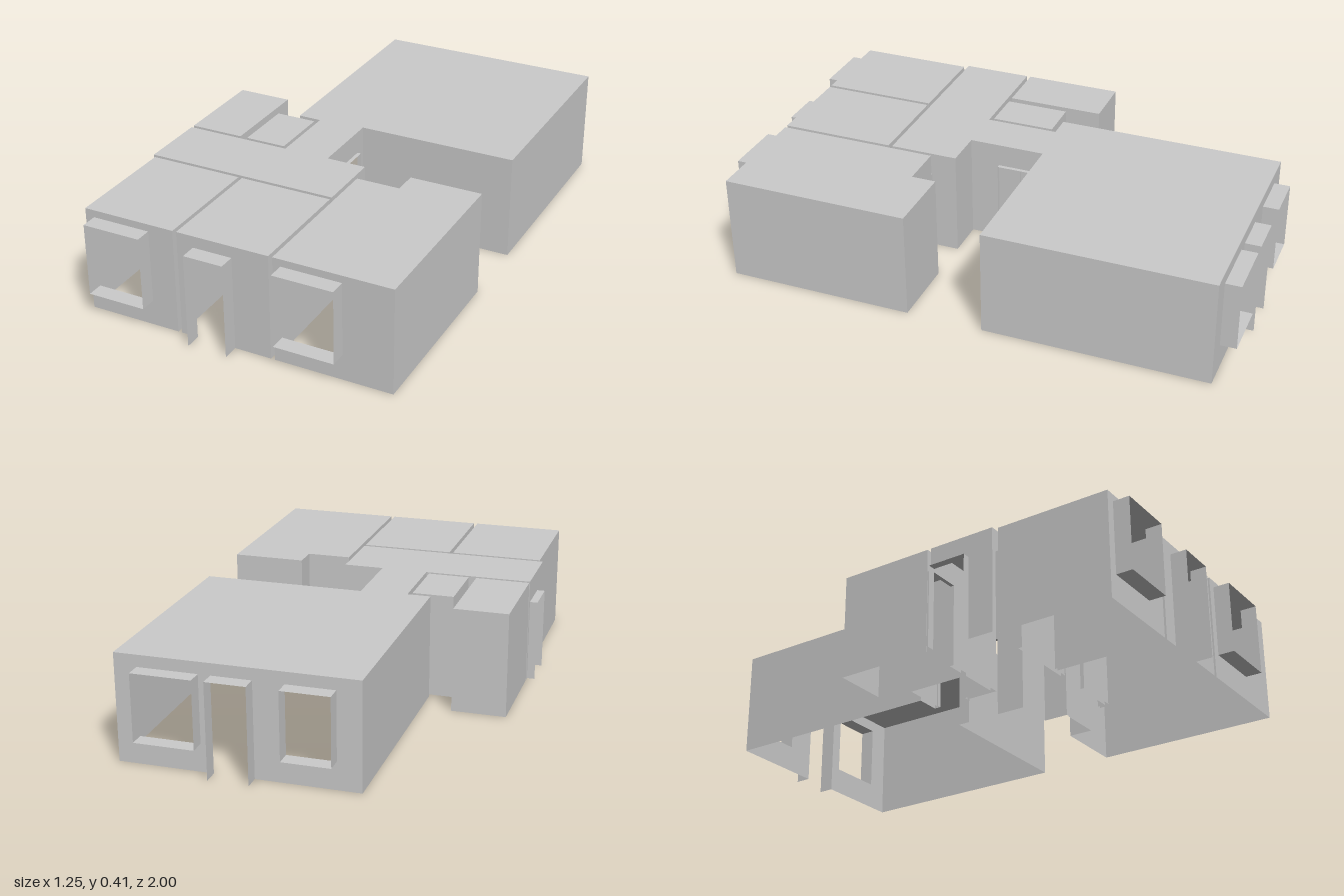
import * as THREE from 'three';
import { mergeGeometries } from 'three/addons/utils/BufferGeometryUtils.js';

const H = 0.408; // ceiling height
const material = new THREE.MeshStandardMaterial({ color: 0xcccccc, side: THREE.DoubleSide, flatShading: true });

const rect = (x0, x1, z0, z1) => [[x0, z0], [x1, z0], [x1, z1], [x0, z1]];

// Floor plans as [x, z] corners
const rooms = {
  livingRoomAndHall: [[-0.27, -0.94], [0.62, -0.94], [0.62, -0.08], [0, -0.08], [0, 0.215], [0.155, 0.215],
    [0.155, 0.48], [-0.595, 0.48], [-0.595, 0.215], [-0.18, 0.215], [-0.18, -0.065], [-0.27, -0.065]],
  bathroom: rect(-0.595, -0.385, -0.175, 0.2),
  toilet: rect(-0.355, -0.195, -0.045, 0.2),
  leftFrontRoom: rect(-0.58, -0.22, 0.495, 0.937),
  middleFrontRoom: rect(-0.205, 0.155, 0.495, 0.937),
  rightFrontRoom: [[0.34, 0.215], [0.62, 0.215], [0.62, 0.937], [0.17, 0.937], [0.17, 0.31], [0.34, 0.31]],
};

// Openings: axis the passage runs along, its two ends, span across, bottom and top
const open = (name, axis, from, to, a, b, y0, y1) => ({ name, axis, from, to, a, b, y0, y1 });
const openings = [
  open('frontWindow', 'z', 0.937, 1, -0.545, -0.32, 0.1, 0.38),
  open('frontWindow', 'z', 0.937, 1, 0.2, 0.43, 0.1, 0.38),
  open('frontDoor', 'z', 0.937, 1, -0.14, 0.012, 0, 0.363),
  open('backWindow', 'z', -1, -0.94, -0.18, 0, 0.106, 0.363),
  open('backWindow', 'z', -1, -0.94, 0.31, 0.535, 0.106, 0.363),
  open('backDoor', 'z', -1, -0.94, 0.115, 0.265, 0, 0.363),
  open('entranceDoor', 'x', -0.625, -0.595, 0.23, 0.38, 0, 0.32),
  open('bathroomDoor', 'z', 0.2, 0.215, -0.593, -0.453, 0, 0.32),
  open('leftRoomDoor', 'z', 0.48, 0.495, -0.575, -0.437, 0, 0.32),
  open('middleRoomDoor', 'z', 0.48, 0.495, -0.155, -0.02, 0, 0.32),
  open('rightRoomDoor', 'x', 0.155, 0.17, 0.313, 0.45, 0, 0.32),
  open('toiletDoor', 'x', -0.195, -0.18, -0.04, 0.085, 0, 0.32),
  open('closetDoor', 'x', 0, 0.015, -0.033, 0.1, 0, 0.32),
];

const polygon = (pts) => new THREE.Shape(pts.map(([x, y]) => new THREE.Vector2(x, y)));

// One thin wall with door notches and window holes
function wall([x0, z0], [x1, z1]) {
  const axis = z0 === z1 ? 'z' : 'x';
  const at = axis === 'z' ? z0 : x0;
  const ends = axis === 'z' ? [x0, x1] : [z0, z1];
  const a = Math.min(...ends), b = Math.max(...ends);
  const cuts = openings
    .filter((o) => o.axis === axis && (o.from === at || o.to === at) && o.a >= a && o.b <= b)
    .sort((p, q) => p.a - q.a);
  const outline = [[a, 0]];
  for (const o of cuts.filter((c) => c.y0 === 0)) {
    outline.push([o.a, 0], [o.a, o.y1], [o.b, o.y1], [o.b, 0]);
  }
  outline.push([b, 0], [b, H], [a, H]);
  const shape = polygon(outline);
  for (const o of cuts.filter((c) => c.y0 > 0)) {
    shape.holes.push(polygon([[o.a, o.y0], [o.a, o.y1], [o.b, o.y1], [o.b, o.y0]]));
  }
  const geo = new THREE.ShapeGeometry(shape);
  return axis === 'z' ? geo.translate(0, 0, at) : geo.rotateY(-Math.PI / 2).translate(at, 0, 0);
}

// Lining of an opening: two jambs, a head and, for windows, a sill
function lining(o) {
  const depth = o.to - o.from, width = o.b - o.a, height = o.y1 - o.y0;
  const jamb = (x) => new THREE.PlaneGeometry(depth, height)
    .rotateY(Math.sign(x) * Math.PI / 2).translate(x, (o.y0 + o.y1) / 2, 0);
  const slab = (y) => new THREE.PlaneGeometry(width, depth).rotateX(-Math.PI / 2).translate(0, y, 0);
  const parts = [jamb(-width / 2), jamb(width / 2), slab(o.y1)];
  if (o.y0 > 0) parts.push(slab(o.y0));
  const geo = mergeGeometries(parts);
  const across = (o.a + o.b) / 2, along = (o.from + o.to) / 2;
  return o.axis === 'z' ? geo.translate(across, 0, along) : geo.rotateY(-Math.PI / 2).translate(along, 0, across);
}

export function createModel() {
  const model = new THREE.Group();
  model.name = 'apartment';
  const add = (parent, name, geo) => {
    const mesh = new THREE.Mesh(geo, material);
    mesh.name = name;
    parent.add(mesh);
  };

  // Room shells, open underneath
  for (const [name, plan] of Object.entries(rooms)) {
    const room = new THREE.Group();
    room.name = name;
    add(room, 'walls', mergeGeometries(plan.map((p, i) => wall(p, plan[(i + 1) % plan.length]))));
    const ceiling = new THREE.ShapeGeometry(polygon(plan.map(([x, z]) => [x, -z])));
    add(room, 'ceiling', ceiling.rotateX(-Math.PI / 2).translate(0, H, 0));
    model.add(room);
  }

  // Door and window linings
  for (const o of openings) add(model, o.name, lining(o));
  return model;
}
